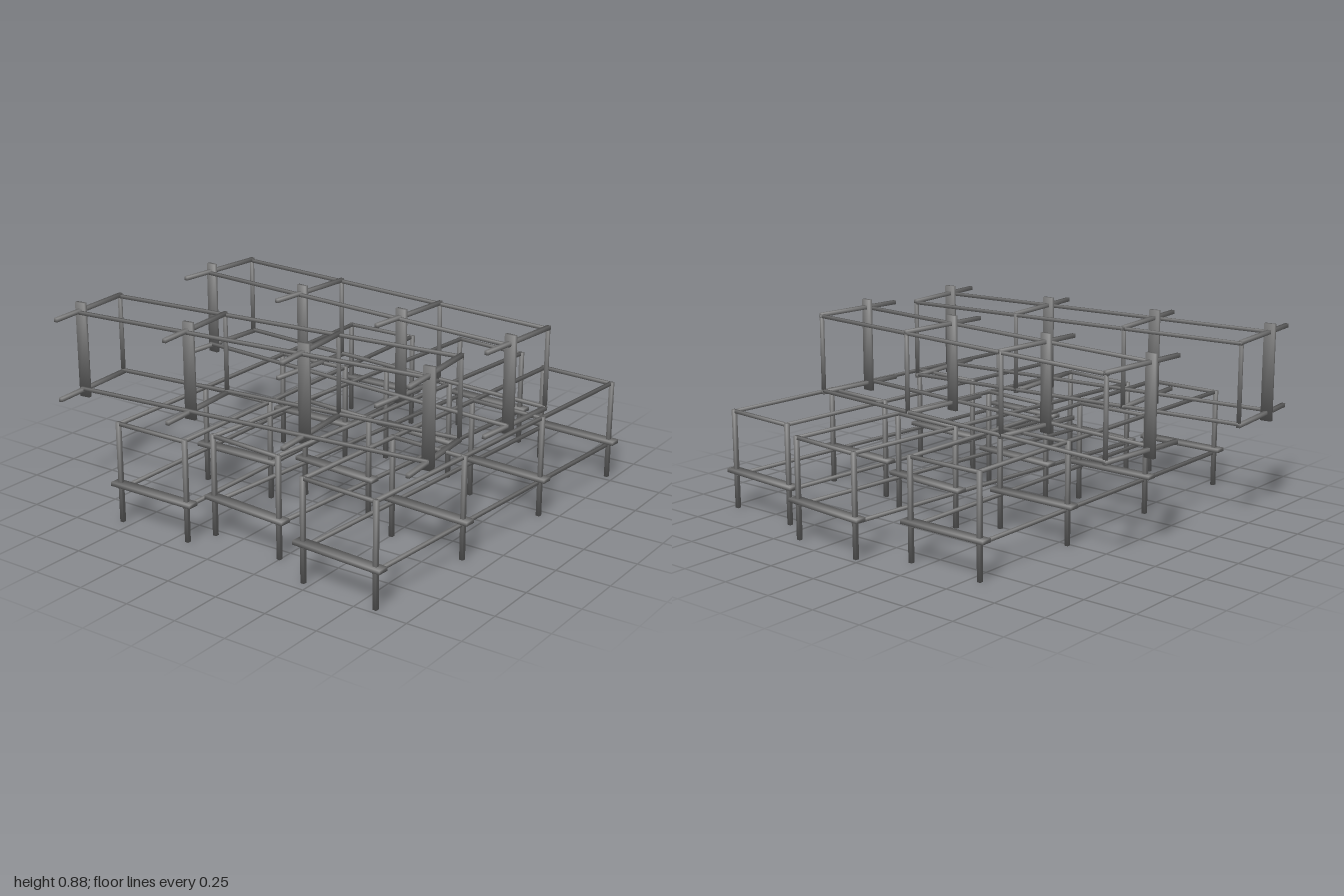
import * as THREE from 'three';

const LENGTH = 1.765;  // between the first and last frame
const HEIGHT = 0.47;   // foot to top of a leg
const LEG = 0.187;     // half spacing of the legs
const RAIL = 0.181;    // half spacing of the rails
const FRAMES = 4;

const material = new THREE.MeshStandardMaterial({ color: 0x777777 });

// Box bar with normals shared at the corners, for soft shading along its faces
function bar(parent, name, size, position) {
  const geometry = new THREE.BoxGeometry(...size);
  const { position: points, normal } = geometry.attributes;
  for (let i = 0; i < points.count; i++) {
    const n = new THREE.Vector3(
      Math.sign(points.getX(i)), Math.sign(points.getY(i)), Math.sign(points.getZ(i))).normalize();
    normal.setXYZ(i, n.x, n.y, n.z);
  }
  const mesh = new THREE.Mesh(geometry, material);
  mesh.name = name;
  mesh.position.set(...position);
  parent.add(mesh);
}

// One open rack: runs along x, stands on y = 0, legs at +-z
function createRack(name) {
  const rack = new THREE.Group();
  rack.name = name;

  for (let i = 0; i < FRAMES; i++) {
    const frame = new THREE.Group();
    frame.name = 'frame';
    frame.position.x = (i / (FRAMES - 1) - 0.5) * LENGTH;
    for (const side of [-1, 1]) {
      bar(frame, 'leg', [0.018, HEIGHT, 0.018], [0, HEIGHT / 2, side * LEG]);
    }
    bar(frame, 'crossPlank', [0.052, 0.018, 0.448], [0, 0.179, 0]);
    bar(frame, 'topCrossbar', [0.015, 0.015, LEG * 2], [0, 0.4625, 0]);
    rack.add(frame);
  }

  // Long rails under the planks and along the top
  for (const side of [-1, 1]) {
    bar(rack, 'lowerRail', [LENGTH + 0.015, 0.015, 0.015], [0, 0.161, side * RAIL]);
    bar(rack, 'topRail', [LENGTH + 0.015, 0.015, 0.015], [0, 0.4625, side * RAIL]);
  }
  return rack;
}

export function createModel() {
  const model = new THREE.Group();
  model.name = 'stackedRacks';

  // Three racks standing on the ground: x, z, turn in degrees
  const standing = [[-0.03, -0.366, 0], [0.073, 0.139, -5.05], [-0.078, 0.712, -4.05]];
  for (const [x, z, turn] of standing) {
    const rack = createRack('standingRack');
    rack.position.set(x, 0, z);
    rack.rotation.y = THREE.MathUtils.degToRad(turn);
    model.add(rack);
  }

  // Two racks tipped on their sides on top, feet towards -x
  const tipped = [[-0.784, -0.072, 4.9], [-0.086, -0.043, -5.05]];
  for (const [x, z, turn] of tipped) {
    const holder = new THREE.Group();
    holder.name = 'tippedRack';
    holder.position.set(x, 0.659, z);
    holder.rotation.y = THREE.MathUtils.degToRad(turn);
    const rack = createRack('rack');
    rack.quaternion.setFromRotationMatrix(new THREE.Matrix4().makeBasis(
      new THREE.Vector3(0, 0, 1), new THREE.Vector3(1, 0, 0), new THREE.Vector3(0, 1, 0)));
    holder.add(rack);
    model.add(holder);
  }
  return model;
}
